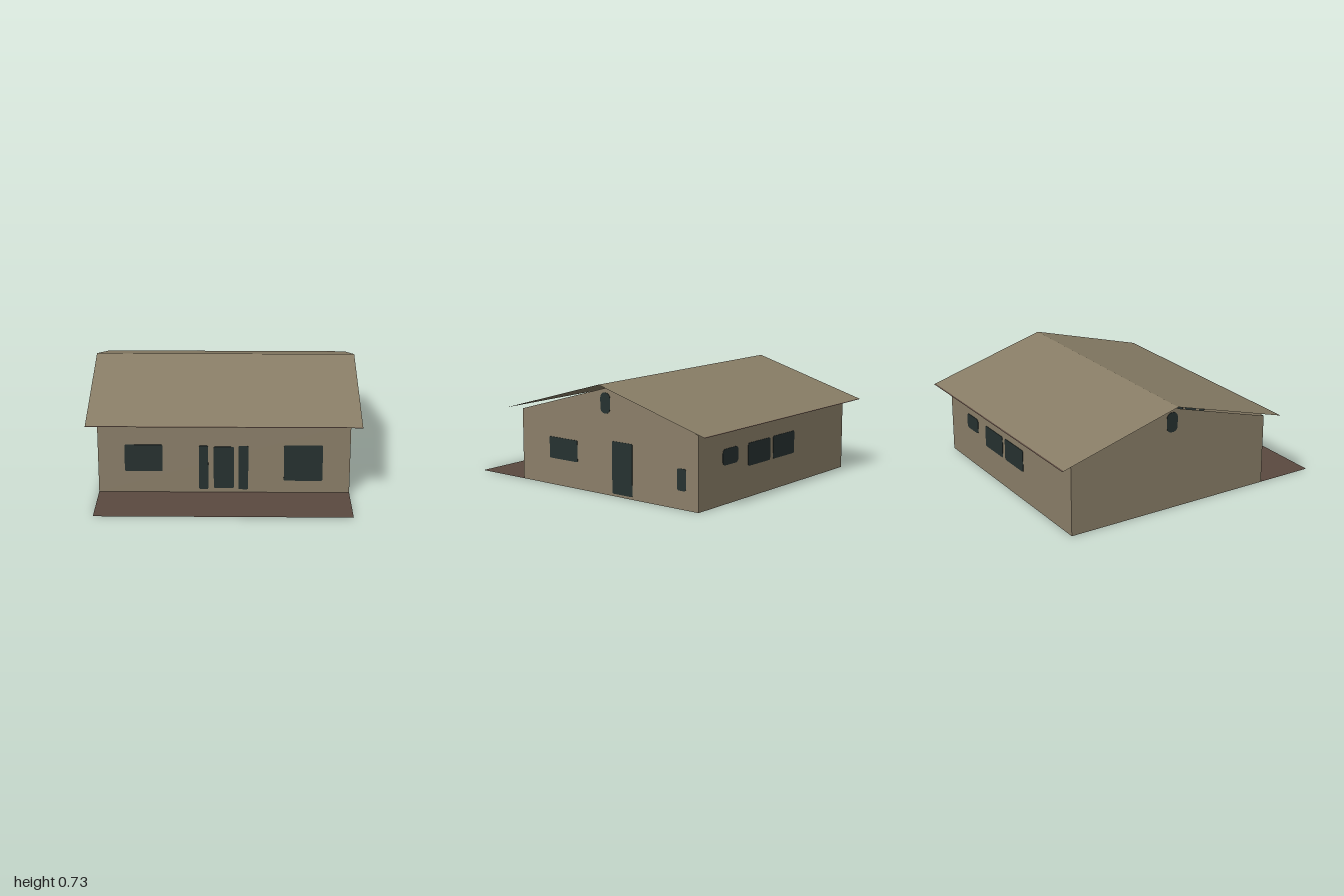
import * as THREE from 'three';

const flat = (name, color) => {
  const m = new THREE.MeshStandardMaterial({ color, side: THREE.DoubleSide });
  m.name = name;
  return m;
};

export function createModel() {
  const house = new THREE.Group();
  house.name = 'house';
  const wallMat = flat('tan wall', 0x8b7f69);
  const roofMat = flat('olive roof', 0x887d66);
  const brownMat = flat('brown deck', 0x5a493f);
  const glassMat = flat('dark glass', 0x263130);

  const W = 0.83, FRONT = 0.6, BACK = -0.9, RIDGE = -0.15; // wall limits
  const EAVE = 0.485, PEAK = 0.7;

  // flat convex sheet from corners given counter-clockwise from outside
  function sheet(name, mat, corners) {
    const pos = [];
    for (let i = 1; i < corners.length - 1; i++) pos.push(...corners[0], ...corners[i], ...corners[i + 1]);
    const geo = new THREE.BufferGeometry();
    geo.setAttribute('position', new THREE.Float32BufferAttribute(pos, 3));
    geo.computeVertexNormals();
    const mesh = new THREE.Mesh(geo, mat);
    mesh.name = name;
    house.add(mesh);
  }

  // walls, open underneath
  sheet('frontWall', wallMat, [[-W, 0, FRONT], [W, 0, FRONT], [W, EAVE, FRONT], [-W, EAVE, FRONT]]);
  sheet('backWall', wallMat, [[W, 0, BACK], [-W, 0, BACK], [-W, EAVE, BACK], [W, EAVE, BACK]]);
  for (const s of [1, -1]) {
    const c = [[s * W, 0, FRONT], [s * W, 0, BACK], [s * W, EAVE, BACK], [s * W, PEAK, RIDGE], [s * W, EAVE, FRONT]];
    sheet(s > 0 ? 'leftGable' : 'rightGable', wallMat, s > 0 ? c : c.reverse());
  }

  // roof slopes, each with a narrow brown strip along its eave
  const R = 0.9, TOP = 0.73, LOW = 0.49;
  for (const [name, zEnd] of [['front', 0.69], ['back', -1]]) {
    const at = (t) => [TOP + (LOW - TOP) * t, RIDGE + (zEnd - RIDGE) * t];
    const band = (part, mat, t0, t1) => {
      const [y0, z0] = at(t0), [y1, z1] = at(t1);
      const c = [[-R, y1, z1], [R, y1, z1], [R, y0, z0], [-R, y0, z0]];
      sheet(name + part, mat, zEnd > 0 ? c : c.reverse());
    };
    band('RoofSlope', roofMat, 0, 0.988);
    band('EaveStrip', brownMat, 0.988, 1);
  }

  // terrace in front of the house
  sheet('terrace', brownMat, [[-W, 0, 1], [W, 0, 1], [W, 0, FRONT], [-W, 0, FRONT]]);

  // thin rounded plate passing through a wall, so it shows inside and out
  function opening(name, a0, a1, y0, y1, r, wall) {
    const w = Math.abs(a1 - a0) / 2, h = (y1 - y0) / 2;
    const s = new THREE.Shape();
    s.moveTo(-w + r, -h);
    s.absarc(w - r, -h + r, r, -Math.PI / 2, 0);
    s.absarc(w - r, h - r, r, 0, Math.PI / 2);
    s.absarc(-w + r, h - r, r, Math.PI / 2, Math.PI);
    s.absarc(-w + r, -h + r, r, Math.PI, Math.PI * 1.5);
    const geo = new THREE.ExtrudeGeometry(s, { depth: 0.006, bevelEnabled: false, curveSegments: 4 });
    geo.translate(0, 0, -0.003);
    const mesh = new THREE.Mesh(geo, glassMat);
    mesh.name = name;
    const mid = (a0 + a1) / 2, y = (y0 + y1) / 2;
    if (wall === 'front') mesh.position.set(mid, y, FRONT);
    else if (wall === 'back') mesh.position.set(mid, y, BACK);
    else {
      mesh.position.set(wall === 'left' ? W : -W, y, mid);
      mesh.rotation.y = Math.PI / 2;
    }
    house.add(mesh);
  }

  // front windows and entrance
  opening('frontWindowSmall', -0.655, -0.405, 0.15, 0.335, 0.008, 'front');
  opening('entranceSidelightRight', -0.165, -0.104, 0.022, 0.33, 0.01, 'front');
  opening('entranceDoor', -0.068, 0.065, 0.03, 0.323, 0.01, 'front');
  opening('entranceSidelightLeft', 0.095, 0.16, 0.022, 0.33, 0.01, 'front');
  opening('frontWindowLarge', 0.395, 0.65, 0.085, 0.335, 0.008, 'front');

  // back windows
  opening('backWindowSmall', 0.42, 0.583, 0.252, 0.357, 0.025, 'back');
  opening('backWindowMiddle', 0.064, 0.31, 0.205, 0.355, 0.012, 'back');
  opening('backWindowEnd', -0.217, 0.03, 0.205, 0.357, 0.012, 'back');

  // side wall openings and gable vents
  opening('sideWindow', 0.1, 0.35, 0.18, 0.325, 0.008, 'left');
  opening('sideDoor', -0.372, -0.203, 0.017, 0.362, 0.01, 'left');
  opening('sideWindowNarrow', -0.805, -0.735, 0.12, 0.26, 0.015, 'left');
  for (const side of ['left', 'right']) opening(side + 'GableVent', -0.188, -0.106, 0.535, 0.67, 0.035, side);

  return house;
}
